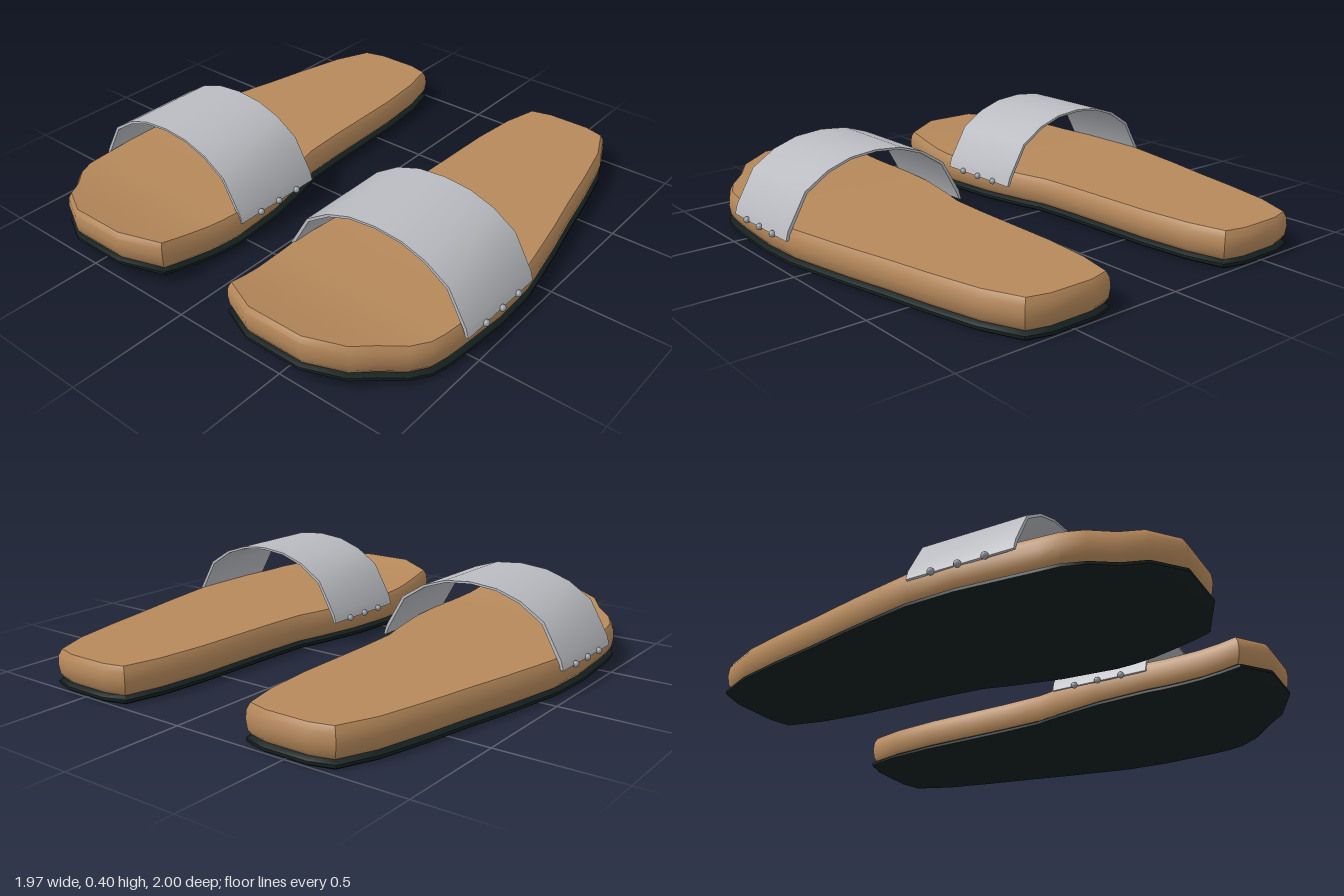
import * as THREE from 'three';
import { toCreasedNormals } from 'three/addons/utils/BufferGeometryUtils.js';

// Footprint stations: z, inner x, outer x
const FOOT = [
  [-1, 0.405, 0.595], [-0.97, 0.305, 0.695], [-0.81, 0.265, 0.765], [-0.6, 0.245, 0.815],
  [-0.4, 0.24, 0.855], [-0.2, 0.235, 0.9], [-0.02, 0.225, 0.935], [0.1, 0.195, 0.957],
  [0.3, 0.155, 0.965], [0.53, 0.137, 0.948], [0.61, 0.142, 0.94], [0.68, 0.148, 0.928],
  [0.76, 0.158, 0.885], [0.84, 0.165, 0.805], [0.92, 0.175, 0.745], [1, 0.345, 0.595],
];

// The toe curls upward
const lift = (z) => (z > 0.55 ? 0.066 * ((z - 0.55) / 0.45) ** 2 : 0);

// Closed outline, optionally pulled inward along its normals
function outline(side, inset) {
  const st = side > 0 ? FOOT : FOOT.map(([z, a, b]) => [z, -b, -a]);
  const pts = [
    ...st.map(([z, a]) => new THREE.Vector2(a, z)),
    ...st.map(([z, , b]) => new THREE.Vector2(b, z)).reverse(),
  ];
  const n = pts.length;
  return pts.map((p, i) => {
    const t = pts[(i + 1) % n].clone().sub(pts[(i + n - 1) % n]).normalize();
    return new THREE.Vector2(p.x + t.y * inset, p.y - t.x * inset);
  });
}

// Slab lofted through rings of [inset, height], bottom to top
function slab(side, rings) {
  const n = FOOT.length * 2;
  const pos = [], idx = [];
  for (const [inset, y] of rings) {
    for (const p of outline(side, inset)) pos.push(p.x, y + lift(p.y), p.y);
  }
  for (let r = 0; r < rings.length - 1; r++) {
    for (let i = 0; i < n; i++) {
      const a = r * n + i, b = r * n + (i + 1) % n;
      idx.push(a, b, b + n, a, b + n, a + n);
    }
  }
  const top = (rings.length - 1) * n;
  for (let i = 0; i < FOOT.length - 1; i++) {
    const a = i, b = i + 1, c = n - 2 - i, d = n - 1 - i;
    idx.push(top + a, top + b, top + c, top + a, top + c, top + d);
    idx.push(a, c, b, a, d, c);
  }
  const g = new THREE.BufferGeometry();
  g.setAttribute('position', new THREE.Float32BufferAttribute(pos, 3));
  g.setIndex(idx);
  return toCreasedNormals(g, 0.6);
}

// Thin arched band, extruded along the foot
function strapGeometry() {
  const half = [[0.42, 0.105], [0.408, 0.145], [0.327, 0.285], [0.225, 0.35], [0.12, 0.385]];
  const arch = [...half, [0, 0.396], ...half.map(([x, y]) => [-x, y]).reverse()];
  const inner = arch.map(([x, y]) => [x * 0.972, y < 0.11 ? y : y - 0.009]).reverse();
  const shape = new THREE.Shape([...arch, ...inner].map(([x, y]) => new THREE.Vector2(x, y)));
  const g = new THREE.ExtrudeGeometry(shape, { depth: 0.43, bevelEnabled: false });
  g.translate(0, 0, 0.105);
  return toCreasedNormals(g, 0.75);
}

export function createModel() {
  const material = (name, color) => {
    const m = new THREE.MeshStandardMaterial({ color });
    m.name = name;
    return m;
  };
  const tan = material('tan footbed', 0xb5885a);
  const black = material('black rubber', 0x141e1e);
  const grey = material('grey strap', 0xb9bbc0);
  const metal = material('stud metal', 0x9a9ea5);

  const model = new THREE.Group();
  model.name = 'sandals';
  const strapGeo = strapGeometry();
  const studGeo = new THREE.SphereGeometry(0.014, 10, 8);

  for (const side of [1, -1]) {
    const sandal = new THREE.Group();
    sandal.name = side > 0 ? 'leftSandal' : 'rightSandal';
    const add = (name, geo, mat, x = 0, y = 0, z = 0) => {
      const mesh = new THREE.Mesh(geo, mat);
      mesh.name = name;
      mesh.position.set(x, y, z);
      sandal.add(mesh);
    };
    add('outsole', slab(side, [[0.012, 0], [0, 0.008], [0, 0.02], [0.025, 0.034]]), black);
    add('footbed', slab(side, [[0.02, 0.032], [0.006, 0.05], [0, 0.09], [0.004, 0.125], [0.018, 0.15]]), tan);
    add('strap', strapGeo, grey, side * 0.55);

    // Three studs on each end of the strap
    for (const end of [-1, 1]) {
      for (const z of [0.21, 0.318, 0.425]) {
        add('stud', studGeo, metal, side * 0.55 + end * 0.422, 0.108, z);
      }
    }
    model.add(sandal);
  }
  return model;
}
